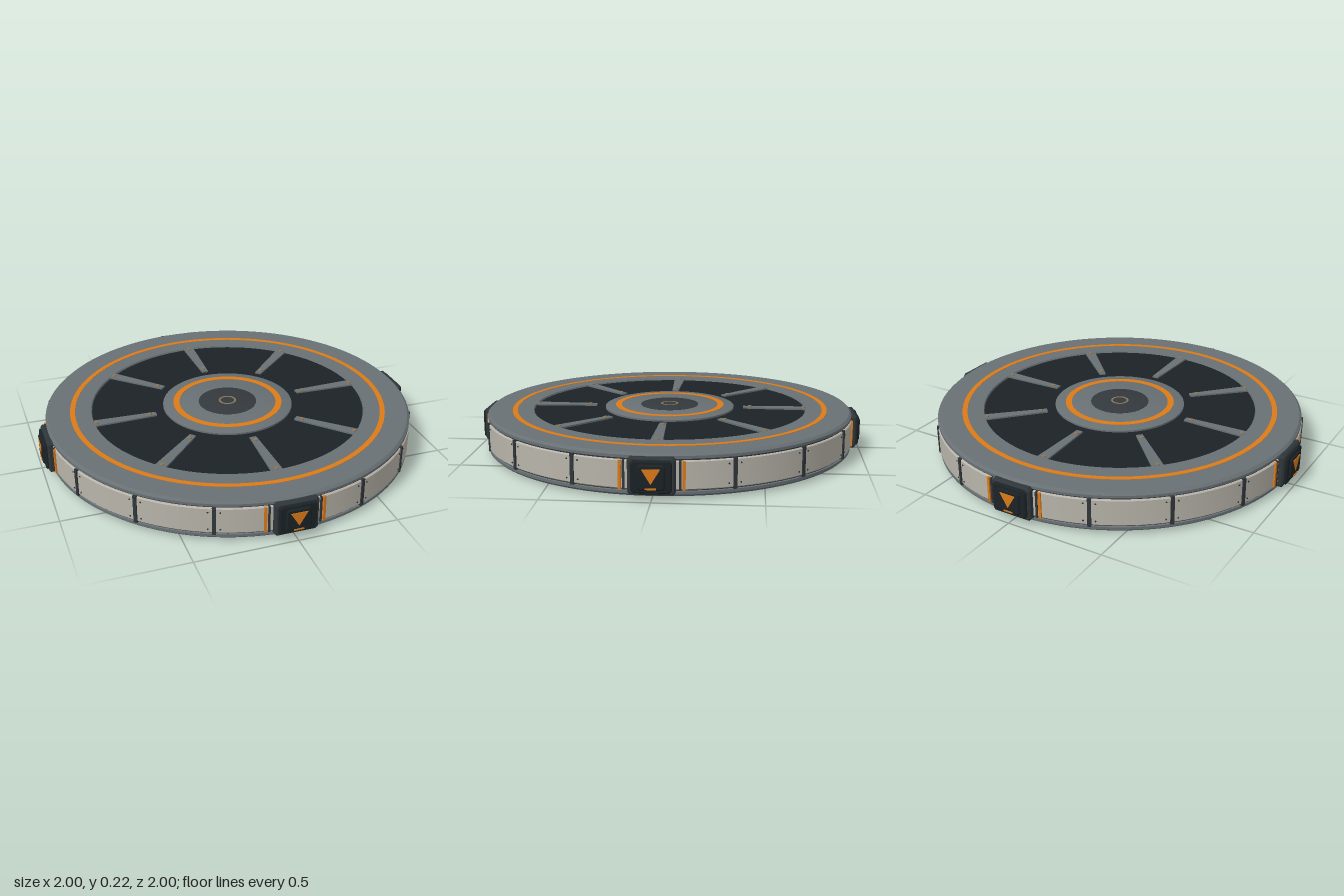
import * as THREE from 'three';
import { toCreasedNormals } from 'three/addons/utils/BufferGeometryUtils.js';

const mat = (color) => new THREE.MeshStandardMaterial({ color });
const STEEL = mat(0x687074), DARK = mat(0x1b2226), CAP = mat(0x34393d), TRIM = mat(0x2f363a);
const ORANGE = mat(0xdc7a18), PLATE = mat(0xb8b4aa), BRASS = mat(0x8a7558);
const MID = 0.111;

function add(parent, name, geometry, material, x = 0, y = 0, z = 0) {
  const m = new THREE.Mesh(geometry, material);
  m.name = name;
  m.position.set(x, y, z);
  parent.add(m);
  return m;
}

// Revolved profile, listed so that the outer side runs upward
function turned(points, segments = 96, start = 0, length = Math.PI * 2) {
  const pts = points.map(([r, y]) => new THREE.Vector2(r, y));
  return toCreasedNormals(new THREE.LatheGeometry(pts, segments, start, length), 0.4);
}

// Flat raised band between two radii
const band = (r0, r1, y0, y1) => turned([[r1, y0], [r1, y1], [r0, y1], [r0, y0]]);

// Extruded outline with a small bevel, facing +z
function plate(corners, depth, bevel = 0) {
  const shape = new THREE.Shape(corners.map(([x, y]) => new THREE.Vector2(x, y)));
  return new THREE.ExtrudeGeometry(shape, {
    depth, bevelEnabled: bevel > 0, bevelSize: bevel, bevelThickness: bevel, bevelOffset: -bevel, bevelSegments: 1,
  });
}

// Rectangle with cut corners
const octagon = (w, h, c) => [
  [-w + c, -h], [w - c, -h], [w, -h + c], [w, h - c], [w - c, h], [-w + c, h], [-w, h - c], [-w, -h + c],
];

// One flat side of the disc, built for the top
function makeFace() {
  const face = new THREE.Group();
  add(face, 'darkDeck', band(0.3, 0.712, 0.08, 0.091), DARK);
  add(face, 'outerRing', band(0.8, 0.826, 0.09, 0.1005), ORANGE);
  add(face, 'hub', turned([[0.34, 0.08], [0.34, 0.1], [0.325, 0.106], [0, 0.106]]), STEEL);
  add(face, 'hubRing', band(0.254, 0.286, 0.1, 0.1075), ORANGE);
  add(face, 'hubCap', turned([[0.152, 0.1], [0.152, 0.107], [0.14, 0.11], [0, 0.11]], 64), CAP);
  add(face, 'capRing', band(0.036, 0.046, 0.105, 0.111), BRASS);

  // Tapered spokes, each with two rivets
  const spokeGeo = plate([[-0.017, 0.39], [0.017, 0.39], [0.029, 0.715], [-0.029, 0.715]], 0.014);
  spokeGeo.rotateX(-Math.PI / 2);
  const rivetGeo = new THREE.CylinderGeometry(0.011, 0.013, 0.01, 12);
  for (let i = 0; i < 8; i++) {
    const spoke = new THREE.Group();
    spoke.name = 'spoke';
    spoke.rotation.y = i * Math.PI / 4;
    add(spoke, 'spokeBar', spokeGeo, STEEL, 0, 0.085, 0);
    for (const r of [0.425, 0.705]) add(spoke, 'spokeRivet', rivetGeo, BRASS, 0, 0.099, -r);
    face.add(spoke);
  }
  return face;
}

// Indicator unit on the rim, facing +z
function makePod() {
  const pod = new THREE.Group();
  pod.name = 'indicatorPod';
  add(pod, 'podFrame', plate(octagon(0.107, 0.086, 0.012), 0.05, 0.008), TRIM, 0, 0, 0.917);
  add(pod, 'podBody', plate(octagon(0.092, 0.074, 0.012), 0.012, 0.006), DARK, 0, 0, 0.97);
  add(pod, 'podScreen', plate(octagon(0.062, 0.058, 0.01), 0.014, 0.006), DARK, 0, 0, 0.977);
  add(pod, 'triangle', plate([[0, -0.03], [0.042, 0.04], [-0.042, 0.04]], 0.003), ORANGE, 0, 0, 0.997);
  add(pod, 'dash', new THREE.BoxGeometry(0.05, 0.007, 0.003), ORANGE, 0, -0.05, 0.9985);
  for (const s of [-1, 1]) {
    const angle = s * 0.15;
    const strip = add(pod, 'orangeStrip', new THREE.BoxGeometry(0.013, 0.132, 0.02), ORANGE,
      Math.sin(angle) * 0.953, 0, Math.cos(angle) * 0.953);
    strip.rotation.y = angle;
    const edge = add(pod, 'stripEdge', new THREE.BoxGeometry(0.01, 0.135, 0.02), TRIM,
      Math.sin(angle * 0.88) * 0.951, 0, Math.cos(angle * 0.88) * 0.951);
    edge.rotation.y = angle;
  }
  return pod;
}

export function createModel() {
  const model = new THREE.Group();
  model.name = 'discPlatform';
  const disc = new THREE.Group();
  disc.name = 'disc';
  disc.position.y = MID;
  model.add(disc);

  // Solid body with a raised rim and a recessed band round its side
  const half = [[0.937, 0.07], [0.952, 0.075], [0.952, 0.088], [0.94, 0.099], [0.716, 0.099], [0.71, 0.086], [0, 0.086]];
  const lower = half.map(([r, y]) => [r, -y]).reverse();
  add(disc, 'body', turned([...lower, ...half], 128), STEEL);
  for (const s of [-1, 1]) add(disc, 'rimSeam', band(0.935, 0.945, s * 0.071 - 0.004, s * 0.071 + 0.004), TRIM);

  // Matching top and underside
  const top = makeFace();
  top.name = 'topFace';
  const bottom = makeFace();
  bottom.name = 'bottomFace';
  bottom.rotation.x = Math.PI;
  disc.add(top, bottom);

  // Side panels with corner rivets, split by dividers
  const step = Math.PI / 8;
  const panelGeo = turned([[0.93, -0.067], [0.95, -0.067], [0.955, -0.062], [0.955, 0.062], [0.95, 0.067], [0.93, 0.067]],
    10, 0.008, step - 0.016);
  const dividerGeo = new THREE.BoxGeometry(0.018, 0.145, 0.03);
  const screwGeo = new THREE.CylinderGeometry(0.004, 0.004, 0.006, 8).rotateX(Math.PI / 2);
  for (let i = 0; i < 16; i++) {
    const section = new THREE.Group();
    section.name = 'sideSection';
    section.rotation.y = i * step;
    add(section, 'sidePanel', panelGeo, PLATE);
    add(section, 'divider', dividerGeo, TRIM, 0, 0, 0.946);
    for (const a of [0.03, step - 0.03]) for (const y of [-0.045, 0.045]) {
      add(section, 'panelScrew', screwGeo, TRIM, Math.sin(a) * 0.955, y, Math.cos(a) * 0.955).rotation.y = a;
    }
    disc.add(section);
  }

  // Four pods at the quarter points
  for (let i = 0; i < 4; i++) {
    const pod = makePod();
    pod.rotation.y = i * Math.PI / 2;
    disc.add(pod);
  }
  return model;
}
